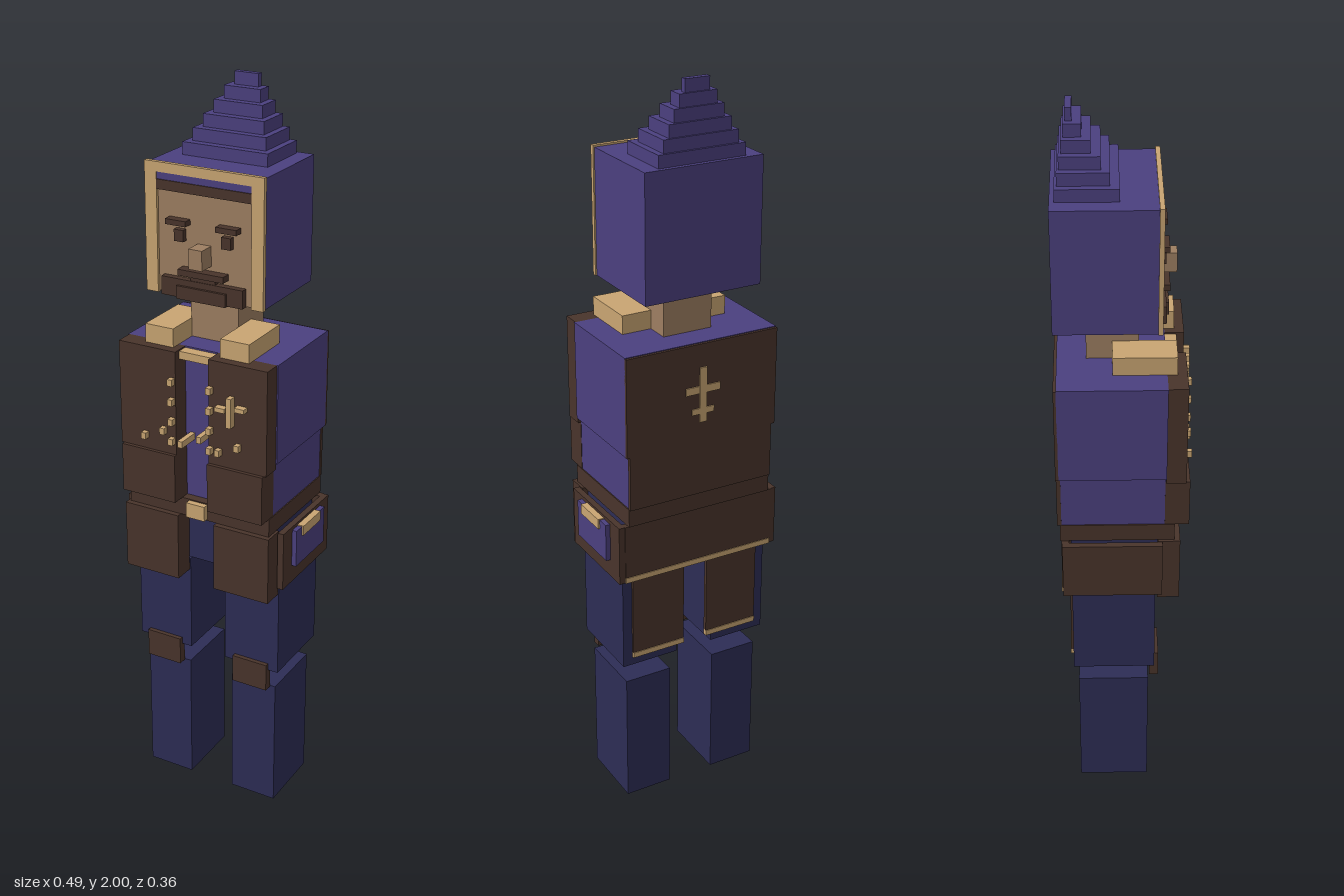
import * as THREE from 'three';

const mat = (name, color) => {
  const m = new THREE.MeshStandardMaterial({ color });
  m.name = name;
  return m;
};

export function createModel() {
  const purple = mat('purple cloth', 0x4b407f);
  const brown = mat('dark brown leather', 0x49342b);
  const navy = mat('navy cloth', 0x2d2d55);
  const gold = mat('tan trim', 0xc9a572);
  const skin = mat('skin', 0x9d7e61);

  const model = new THREE.Group();
  model.name = 'hoodedFigure';

  // Box given by its limits on each axis
  const box = (name, material, [x0, x1], [y0, y1], [z0, z1]) => {
    const mesh = new THREE.Mesh(new THREE.BoxGeometry(x1 - x0, y1 - y0, z1 - z0), material);
    mesh.position.set((x0 + x1) / 2, (y0 + y1) / 2, (z0 + z1) / 2);
    mesh.name = name;
    model.add(mesh);
    return mesh;
  };
  // Pair mirrored about the body's middle plane, given for the left side
  const MID = -0.01;
  const pair = (name, material, [a, b], y, z) => {
    box(name + 'Left', material, [MID + a, MID + b], y, z);
    box(name + 'Right', material, [MID - b, MID - a], y, z);
  };

  // Legs
  pair('lowerLeg', navy, [0.067, 0.202], [0, 0.38], [-0.127, 0.064]);
  pair('kneePad', brown, [0.084, 0.188], [0.38, 0.46], [0.068, 0.092]);
  pair('upperLeg', navy, [0.054, 0.217], [0.44, 0.72], [-0.14, 0.08]);
  pair('legBackPanel', brown, [0.035, 0.19], [0.48, 0.72], [-0.146, -0.135]);
  pair('legBackHem', gold, [0.035, 0.19], [0.465, 0.48], [-0.148, -0.135]);
  box('pelvis', navy, [-0.21, 0.19], [0.73, 0.88], [-0.14, 0.085]);

  // Coat skirt and belt
  pair('frontSkirt', brown, [0.054, 0.217], [0.69, 0.88], [0.085, 0.143]);
  pair('sideSkirt', brown, [0.22, 0.237], [0.715, 0.88], [-0.163, 0.097]);
  box('backSkirt', brown, [-0.23, 0.21], [0.73, 0.88], [-0.165, -0.145]);
  box('backSkirtHem', gold, [-0.23, 0.21], [0.715, 0.73], [-0.167, -0.145]);
  box('belt', brown, [-0.22, 0.2], [0.88, 0.93], [-0.168, 0.128]);
  box('buckle', gold, [-0.037, 0.018], [0.885, 0.927], [0.12, 0.145]);
  box('pocket', purple, [0.227, 0.24], [0.765, 0.87], [-0.113, 0.048]);
  box('pocketFlap', gold, [0.227, 0.245], [0.845, 0.873], [-0.08, 0.018]);

  // Torso and vest
  box('waist', purple, [-0.217, 0.197], [0.93, 1.08], [-0.165, 0.103]);
  box('chest', purple, [-0.228, 0.208], [1.08, 1.35], [-0.169, 0.105]);
  box('vestBackUpper', brown, [-0.228, 0.208], [1.08, 1.348], [-0.176, -0.168]);
  box('vestBackLower', brown, [-0.219, 0.199], [0.93, 1.08], [-0.175, -0.164]);
  pair('vestFront', brown, [0.048, 0.215], [1.065, 1.35], [0.104, 0.155]);
  pair('vestFrontLower', brown, [0.048, 0.208], [0.93, 1.065], [0.102, 0.165]);
  box('collarClasp', gold, [-0.058, 0.038], [1.325, 1.346], [0.1, 0.135]);
  pair('collarPad', gold, [0.068, 0.15], [1.35, 1.4], [-0.03, 0.13]);

  // Studs on the vest
  const stud = (x, y, z) => box('stud', gold, [x - 0.007, x + 0.007], [y - 0.009, y + 0.009], [z, 0.171]);
  for (const y of [1.27, 1.215, 1.16, 1.105]) {
    stud(-0.067, y, 0.15);
    stud(0.045, y, 0.15);
  }
  for (const [x, y] of [[-0.148, 1.105], [-0.092, 1.13], [0.07, 1.105], [0.126, 1.13]]) stud(x, y, 0.15);
  stud(-0.038, 1.105, 0.104);
  stud(0.017, 1.13, 0.104);

  // Cross ornaments on chest and back
  box('chestCrossPost', gold, [0.099, 0.113], [1.185, 1.265], [0.154, 0.175]);
  box('chestCrossArmLeft', gold, [0.122, 0.15], [1.232, 1.244], [0.154, 0.174]);
  box('chestCrossArmRight', gold, [0.065, 0.094], [1.222, 1.234], [0.154, 0.174]);
  box('backCrossPost', gold, [-0.02, 0], [1.135, 1.285], [-0.18, -0.174]);
  box('backCrossArm', gold, [-0.06, 0.04], [1.215, 1.235], [-0.179, -0.174]);
  box('backCrossFoot', gold, [-0.042, 0.022], [1.158, 1.174], [-0.179, -0.174]);

  // Neck and head
  box('neck', skin, [-0.08, 0.058], [1.35, 1.5], [-0.095, 0.037]);
  box('head', skin, [-0.143, 0.123], [1.478, 1.785], [-0.12, 0.084]);
  box('backHair', brown, [-0.143, 0.123], [1.477, 1.785], [-0.155, -0.12]);
  box('hairLine', brown, [-0.143, 0.123], [1.742, 1.767], [0.08, 0.093]);
  box('capEdge', purple, [-0.143, 0.123], [1.767, 1.785], [0.08, 0.09]);
  pair('eyebrow', brown, [0.042, 0.1], [1.662, 1.676], [0.08, 0.108]);
  pair('eye', brown, [0.054, 0.08], [1.62, 1.65], [0.08, 0.1]);
  box('nose', skin, [-0.031, 0.007], [1.565, 1.617], [0.08, 0.13]);
  box('moustache', brown, [-0.074, 0.056], [1.537, 1.553], [0.08, 0.112]);
  box('mouth', brown, [-0.043, 0.026], [1.524, 1.535], [0.08, 0.1]);
  box('beard', brown, [-0.127, 0.105], [1.476, 1.524], [0.08, 0.102]);
  box('chinBeard', brown, [-0.08, 0.06], [1.474, 1.508], [0.08, 0.109]);

  // Hood shell with a trimmed opening
  pair('hoodSide', purple, [0.133, 0.163], [1.475, 1.805], [-0.175, 0.08]);
  box('hoodBack', purple, [-0.143, 0.123], [1.475, 1.805], [-0.175, -0.155]);
  box('hoodTop', purple, [-0.143, 0.123], [1.785, 1.805], [-0.155, 0.08]);
  pair('hoodTrimSide', gold, [0.133, 0.167], [1.475, 1.81], [0.08, 0.092]);
  box('hoodTrimTop', gold, [-0.143, 0.123], [1.785, 1.81], [0.08, 0.092]);

  // Stepped peak leaning to the back
  const backs = [-0.163, -0.157, -0.152, -0.146, -0.141, -0.136];
  const fronts = [-0.011, -0.033, -0.054, -0.077, -0.098, -0.12];
  for (let i = 0; i < 6; i++) {
    const half = 0.12 - 0.0172 * i;
    const y = 1.805 + 0.0325 * i;
    box('hoodPeakStep', purple, [MID - half, MID + half], [y, y + 0.0325], [backs[i], fronts[i]]);
  }

  return model;
}
